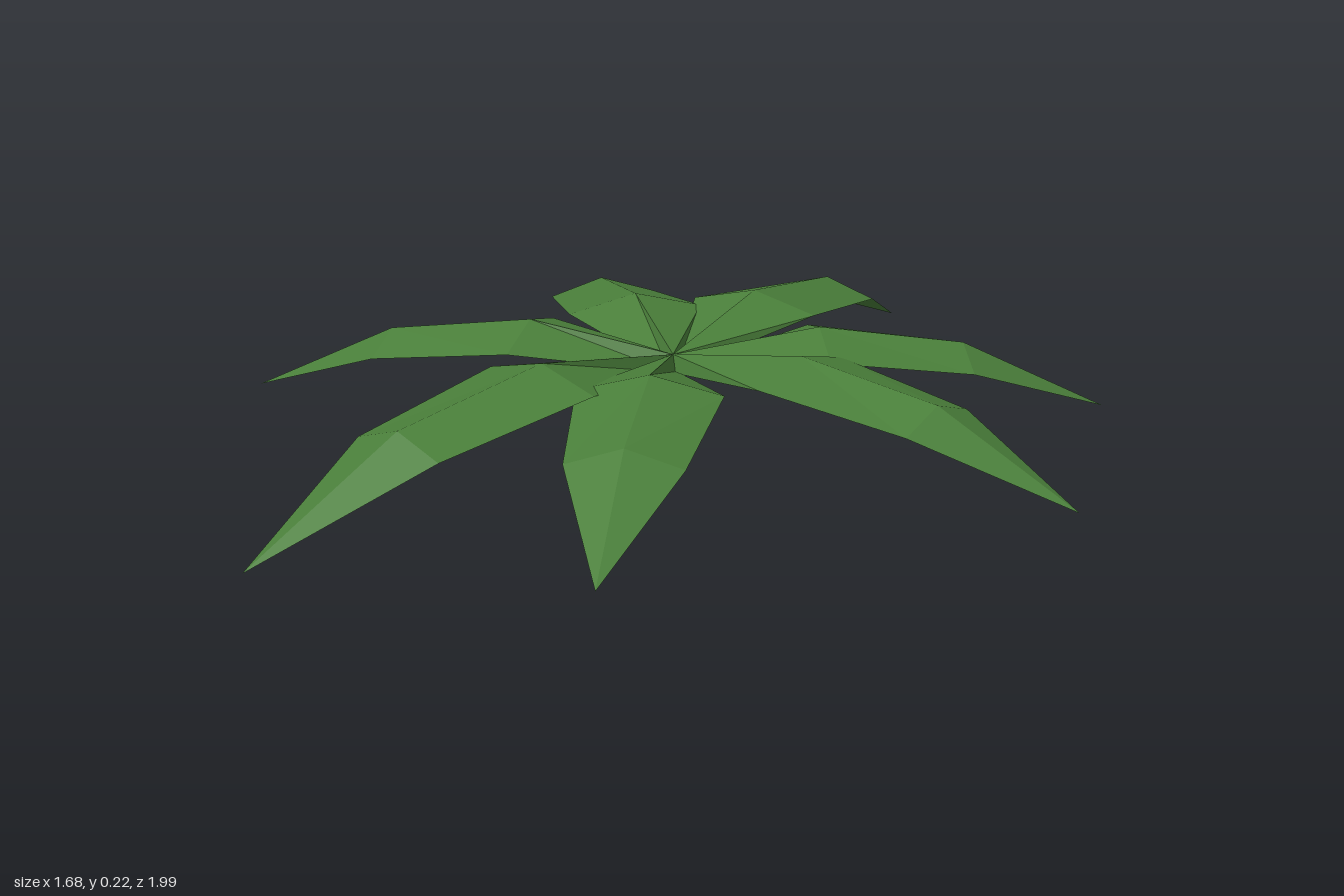
import * as THREE from 'three';

// Crown point where all leaves meet
const CROWN = { x: -0.03, y: 0.17, z: -0.07 };

// Leaf tips on the ground plane [x, z]
const TIPS = [
  [0.11, 0.99], [0.6, 0.6], [0.84, -0.31], [0.43, -0.81],
  [-0.39, -1.0], [-0.84, -0.42], [-0.76, 0.44],
];

// Cross-sections along a leaf: fraction of length, rise per length, half width, edge drop
const SECTIONS = [
  { t: 0, rise: 0, half: 0.008, drop: 0.035 },
  { t: 1 / 3, rise: 0.054, half: 0.14, drop: 0.035 },
  { t: 2 / 3, rise: 0.007, half: 0.11, drop: 0.035 },
  { t: 1, rise: -0.156, half: 0, drop: 0 },
];

// Roof-folded leaf running along +z from the origin
function leafGeometry(length) {
  const points = [];
  for (const { t, rise, half, drop } of SECTIONS) {
    const y = rise * length;
    const z = t * length;
    points.push(-half, y - drop, z, 0, y, z, half, y - drop, z);
  }
  const index = [];
  const last = SECTIONS.length - 2;
  for (let i = 0; i <= last; i++) {
    for (let side = 0; side < 2; side++) {
      const a = i * 3 + side, b = a + 1, c = a + 3, d = a + 4;
      if (i === last) {
        index.push(a, i * 3 + 4, b); // closes onto the tip
      } else {
        index.push(a, c, b, b, c, d);
      }
    }
  }
  const geometry = new THREE.BufferGeometry();
  geometry.setAttribute('position', new THREE.Float32BufferAttribute(points, 3));
  geometry.setIndex(index);
  const flat = geometry.toNonIndexed();
  flat.computeVertexNormals();
  return flat;
}

export function createModel() {
  const plant = new THREE.Group();
  plant.name = 'leafRosette';

  const leafGreen = new THREE.MeshStandardMaterial({ color: 0x4a7f3a });
  leafGreen.name = 'leafGreen';
  leafGreen.side = THREE.DoubleSide;
  leafGreen.flatShading = true;

  // Seven leaves fanned around the crown
  TIPS.forEach(([x, z], i) => {
    const dx = x - CROWN.x;
    const dz = z - CROWN.z;
    const leaf = new THREE.Mesh(leafGeometry(Math.hypot(dx, dz)), leafGreen);
    leaf.name = `leaf${i + 1}`;
    leaf.position.set(CROWN.x, CROWN.y, CROWN.z);
    leaf.rotation.y = Math.atan2(dx, dz);
    plant.add(leaf);
  });

  return plant;
}
